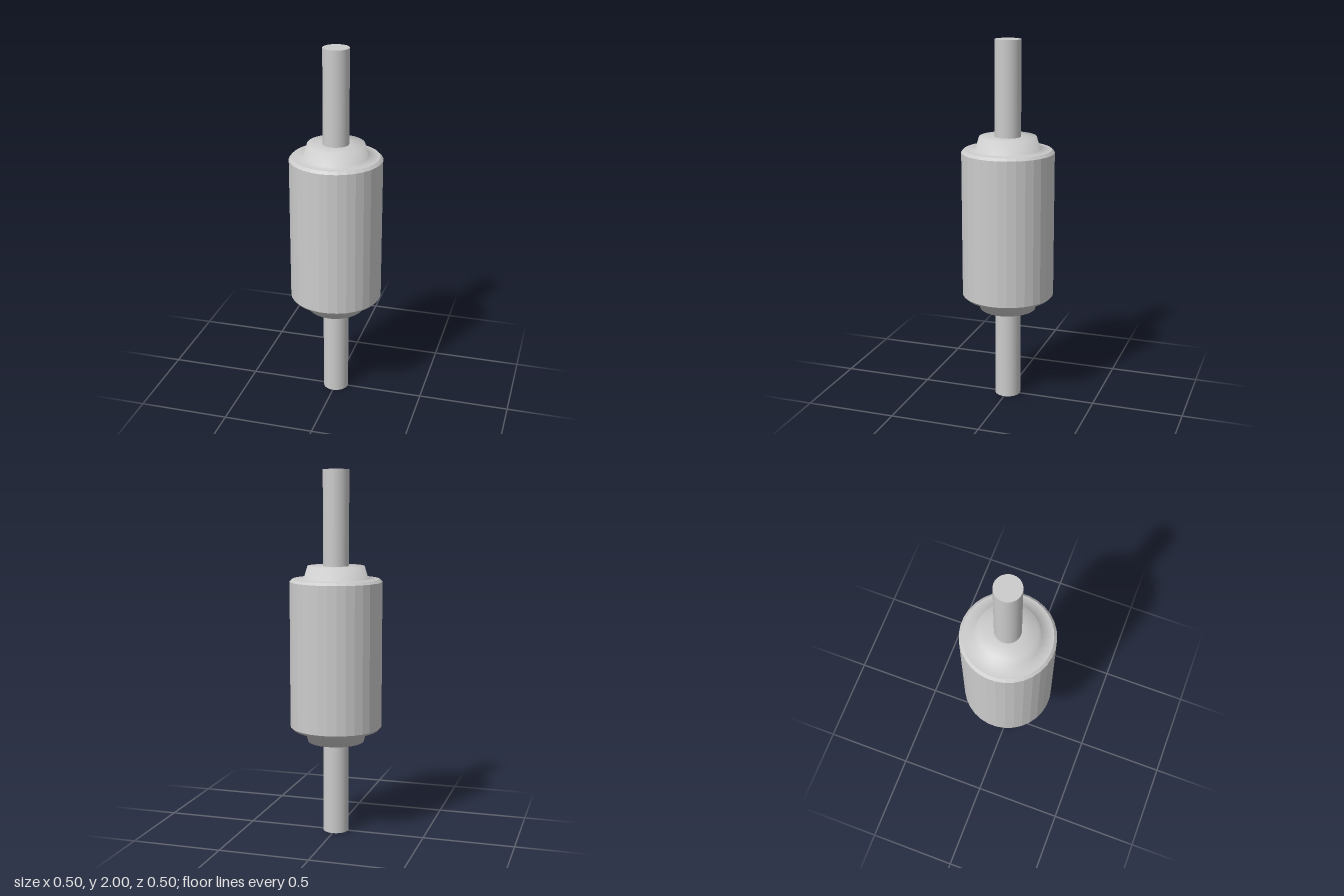
import * as THREE from 'three';

const smooth = new THREE.MeshStandardMaterial({ color: 0xcccccc });
const faceted = new THREE.MeshStandardMaterial({ color: 0xcccccc, flatShading: true });

function lathe(name, profile, sides, material) {
  const points = profile.map(([r, y]) => new THREE.Vector2(r, y));
  const mesh = new THREE.Mesh(new THREE.LatheGeometry(points, sides, Math.PI / sides), material);
  mesh.name = name;
  return mesh;
}

export function createModel() {
  const model = new THREE.Group();
  model.name = 'cylindricalComponent';

  // Faceted barrel with a narrow bevel at each rim
  const barrel = lathe('barrel', [
    [0.237, -0.415], [0.252, -0.4], [0.252, 0.4], [0.237, 0.415],
  ], 32, faceted);
  barrel.position.y = 1;
  model.add(barrel);

  // Each end: a softly shaded shoulder and a round lead
  for (const side of [1, -1]) {
    const end = new THREE.Group();
    end.name = side > 0 ? 'topEnd' : 'bottomEnd';

    const shoulder = lathe('shoulder', [
      [0.237, 0.415], [0.175, 0.417], [0.155, 0.485], [0.06, 0.485],
    ], 32, smooth);

    const lead = new THREE.Mesh(new THREE.CylinderGeometry(0.071, 0.071, 0.52, 32), smooth);
    lead.name = 'lead';
    lead.position.y = 0.74;

    end.add(shoulder, lead);
    end.position.y = 1;
    if (side < 0) end.rotation.x = Math.PI;
    model.add(end);
  }
  return model;
}
